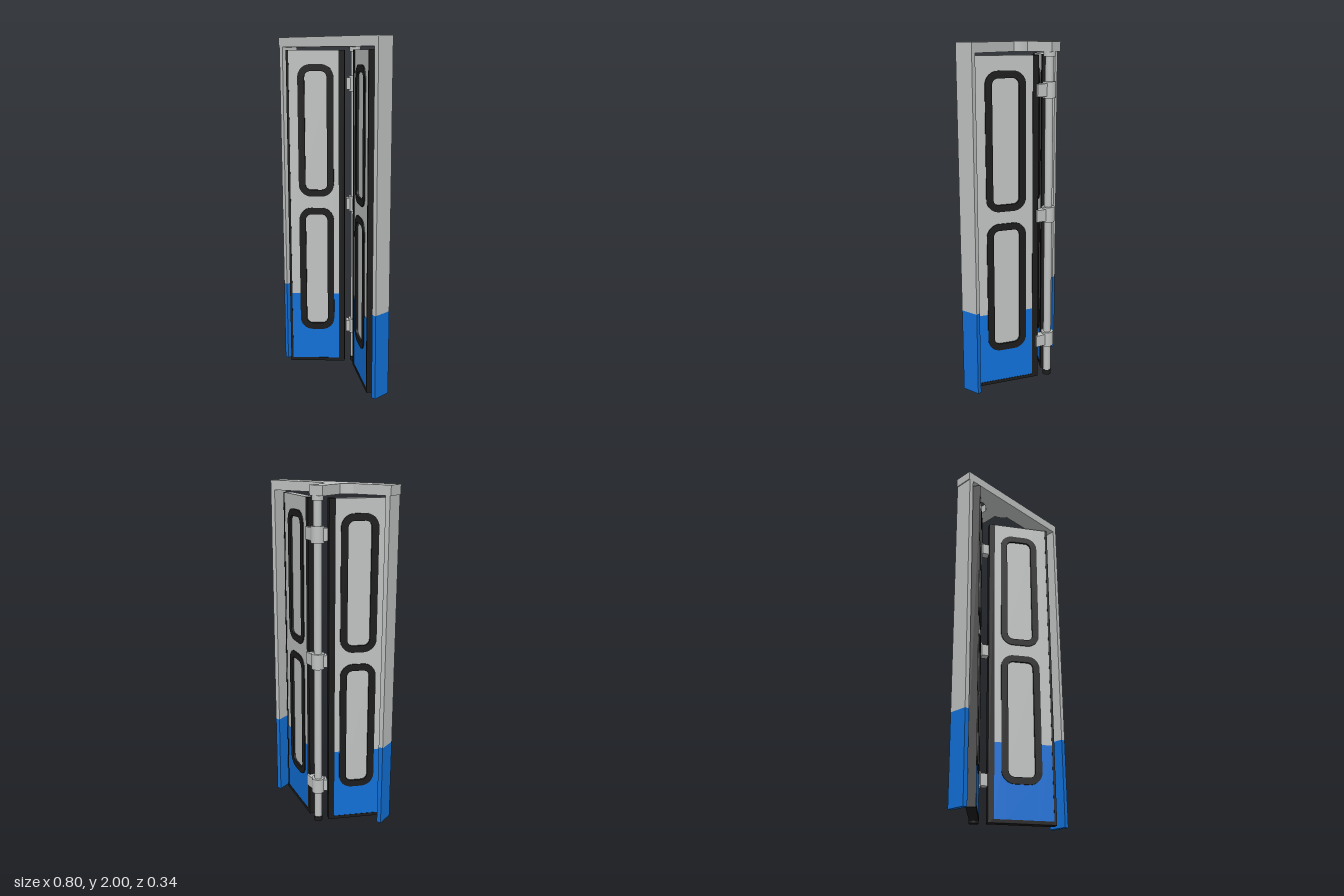
import * as THREE from 'three';

const mat = (name, color) => Object.assign(new THREE.MeshStandardMaterial({ color }), { name });

export function createModel() {
  const grey = mat('lightGreyPaint', 0xc0c2c2);
  const blue = mat('bluePaint', 0x1170d8);
  const black = mat('blackRubber', 0x1c1c1c);
  const model = new THREE.Group();
  model.name = 'foldingDoor';

  const add = (parent, name, geometry, material) => {
    const mesh = new THREE.Mesh(geometry, material);
    mesh.name = name;
    parent.add(mesh);
    return mesh;
  };
  // Box given by its limits on each axis
  const box = (parent, name, material, [x0, x1], [y0, y1], [z0, z1]) => {
    const mesh = add(parent, name, new THREE.BoxGeometry(x1 - x0, y1 - y0, z1 - z0), material);
    mesh.position.set((x0 + x1) / 2, (y0 + y1) / 2, (z0 + z1) / 2);
    return mesh;
  };
  const cylinder = (parent, name, material, r, y0, y1, x, z) => {
    const mesh = add(parent, name, new THREE.CylinderGeometry(r, r, y1 - y0, 20), material);
    mesh.position.set(x, (y0 + y1) / 2, z);
    return mesh;
  };

  // Rounded rectangle centred on x = 0, drawn into a Shape or Path
  const rounded = (path, w, y0, y1, r) => {
    const h = w / 2;
    path.moveTo(-h + r, y0);
    path.lineTo(h - r, y0);
    path.absarc(h - r, y0 + r, r, -Math.PI / 2, 0);
    path.absarc(h - r, y1 - r, r, 0, Math.PI / 2);
    path.absarc(-h + r, y1 - r, r, Math.PI / 2, Math.PI);
    path.absarc(-h + r, y0 + r, r, Math.PI, Math.PI * 1.5);
    return path;
  };

  // Window: rubber gasket proud of the leaf, recessed pane inside it
  const makeWindow = (leaf, w, y0, y1) => {
    const band = 0.04, depth = 0.06;
    const ring = rounded(new THREE.Shape(), w, y0, y1, 0.075);
    ring.holes.push(rounded(new THREE.Path(), w - 2 * band, y0 + band, y1 - band, 0.035));
    const geo = new THREE.ExtrudeGeometry(ring, { depth, bevelEnabled: false, curveSegments: 8 });
    add(leaf, 'windowGasket', geo.translate(0, 0, -depth / 2), black);
    const h = w / 2 - 0.025;
    box(leaf, 'windowPane', grey, [-h, h], [y0 + 0.025, y1 - 0.025], [-0.018, 0.018]);
  };

  // Door leaf between two plan points; inner says which local end meets the pole
  const makeLeaf = (name, [ax, az], [bx, bz], inner, w) => {
    const leaf = new THREE.Group();
    leaf.name = name;
    const half = Math.hypot(bx - ax, bz - az) / 2;
    const base = 0.025, top = 1.93, split = 0.455;
    const windows = [[0.22, 1.0], [1.07, 1.85]];
    const t = [-0.024, 0.024], seal = [-0.026, 0.026];
    const h = w / 2 - 0.025;
    const edge = s => half - (s === inner ? 0.035 : 0.014);

    for (const s of [-1, 1]) {
      const span = (a, b) => [Math.min(s * a, s * b), Math.max(s * a, s * b)];
      box(leaf, 'lowerStile', blue, span(h, edge(s)), [base, split], t);
      box(leaf, 'upperStile', grey, span(h, edge(s)), [split, top], t);
      box(leaf, 'edgeSeal', black, span(edge(s), half), [0.005, top], seal);
    }
    box(leaf, 'bottomRail', blue, [-h, h], [base, windows[0][0] + 0.025], t);
    box(leaf, 'middleRail', grey, [-h, h], [windows[0][1] - 0.025, windows[1][0] + 0.025], t);
    box(leaf, 'topRail', grey, [-h, h], [windows[1][1] - 0.025, top], t);
    box(leaf, 'bottomSeal', black, [-half + 0.01, half - 0.01], [0.005, base], seal);
    windows.forEach(([y0, y1]) => makeWindow(leaf, w, y0, y1));

    leaf.position.set((ax + bx) / 2, 0, (az + bz) / 2);
    leaf.rotation.y = Math.atan2(az - bz, bx - ax);
    model.add(leaf);
  };
  makeLeaf('rightLeaf', [-0.34, 0.15], [-0.095, -0.085], 1, 0.21);
  makeLeaf('leftLeaf', [0.005, -0.09], [0.33, 0.12], -1, 0.235);

  // Side jambs, blue at the foot
  for (const s of [-1, 1]) {
    const x = s < 0 ? [-0.395, -0.368] : [0.368, 0.395];
    box(model, 'jambFoot', blue, x, [0, 0.5], [0.045, 0.155]);
    box(model, 'jamb', grey, x, [0.5, 1.945], [0.045, 0.155]);
  }

  // Header with a rearward arm and curved gussets (plan drawn as x, -z)
  const plan = new THREE.Shape();
  plan.moveTo(-0.4, -0.155);
  plan.lineTo(0.395, -0.155);
  plan.lineTo(0.395, -0.045);
  plan.lineTo(0.035, -0.045);
  plan.quadraticCurveTo(0.02, -0.012, -0.027, 0);
  plan.lineTo(-0.027, 0.165);
  plan.lineTo(-0.112, 0.165);
  plan.lineTo(-0.112, 0);
  plan.quadraticCurveTo(-0.13, -0.025, -0.17, -0.045);
  plan.lineTo(-0.4, -0.045);
  const header = new THREE.ExtrudeGeometry(plan, { depth: 0.055, bevelEnabled: false });
  header.rotateX(-Math.PI / 2).translate(0, 1.945, 0);
  add(model, 'header', header, grey);

  // Pivot pole with foot and top socket
  const px = -0.055, pz = -0.13;
  cylinder(model, 'pole', grey, 0.023, 0.03, 1.95, px, pz);
  cylinder(model, 'poleFoot', black, 0.026, 0, 0.03, px, pz);
  cylinder(model, 'poleSocket', grey, 0.032, 1.92, 1.95, px, pz);

  // Hinge brackets: collar on the pole and an arm to each leaf
  for (const y of [0.24, 1.025, 1.74]) {
    const hinge = new THREE.Group();
    hinge.name = 'hinge';
    cylinder(hinge, 'collar', grey, 0.037, -0.045, 0.045, 0, 0);
    for (const [dx, dz] of [[0.082, 0.035], [-0.035, 0.038]]) {
      const length = Math.hypot(dx, dz);
      const arm = box(hinge, 'hingeArm', grey, [0, length], [-0.035, 0.035], [-0.024, 0.024]);
      arm.position.set(dx / 2, 0, dz / 2);
      arm.rotation.y = Math.atan2(-dz, dx);
    }
    hinge.position.set(px, y, pz);
    model.add(hinge);
  }
  return model;
}
